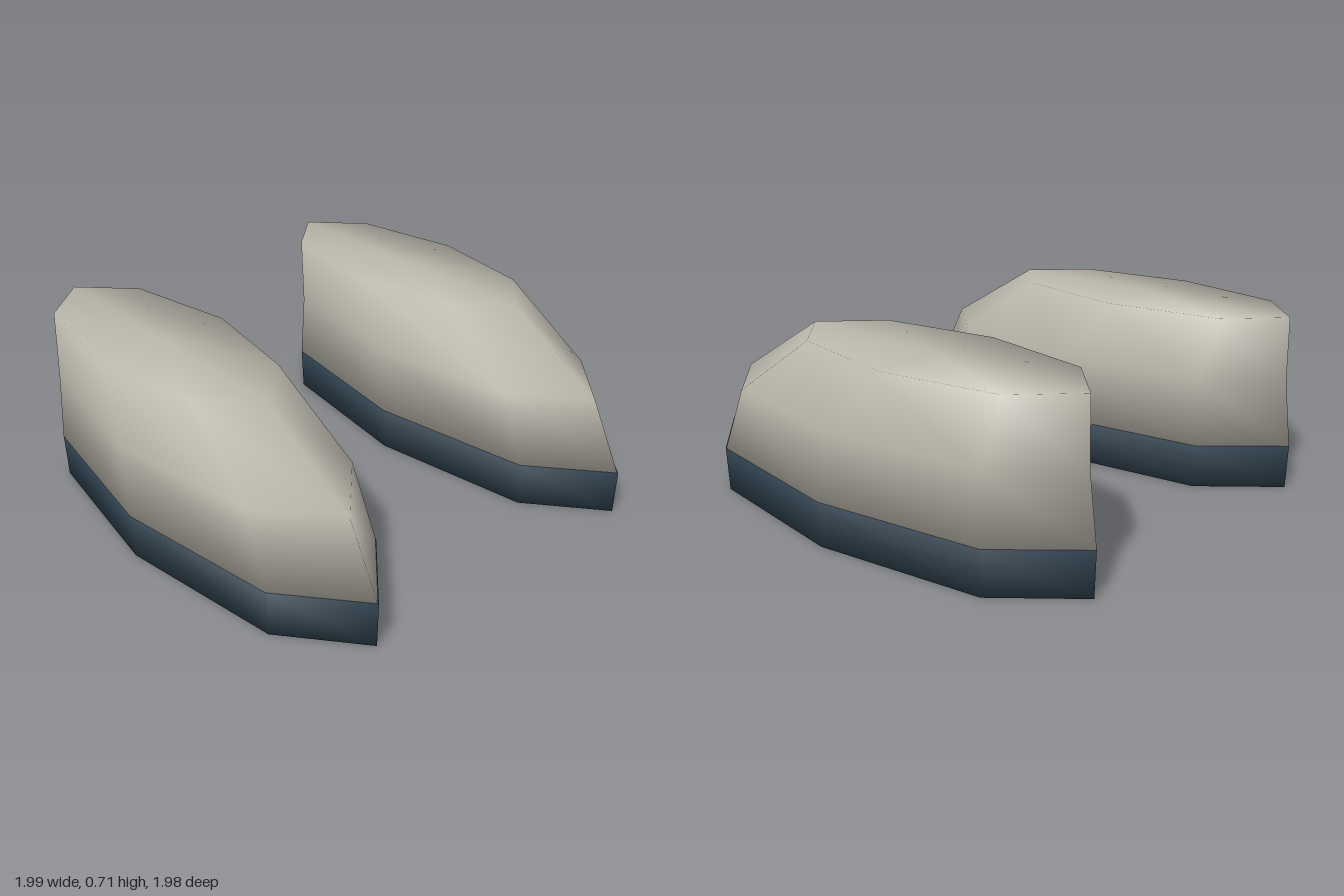
import * as THREE from 'three';

// Eight-sided pointed outline, unit half width and half length, from the toe counterclockwise
const OUTLINE = [[0, 1], [0.705, 0.707], [1, 0], [0.705, -0.707], [0, -1], [-0.705, -0.707], [-1, 0], [-0.705, 0.707]];

// Smooth closed loft; each ring is [y, half width, front z, back z]
function loft(rings) {
  const n = OUTLINE.length, pos = [], index = [];
  for (const [y, w, front, back] of rings) {
    const mid = (front + back) / 2, half = (front - back) / 2;
    for (const [x, z] of OUTLINE) pos.push(x * w, y, mid + z * half);
  }
  // Centre points of the bottom and top caps
  const top = (rings.length - 1) * n, bottomCentre = top + n, topCentre = bottomCentre + 1;
  for (const [y, , front, back] of [rings[0], rings[rings.length - 1]]) pos.push(0, y, (front + back) / 2);

  for (let i = 0; i < n; i++) {
    const j = (i + 1) % n;
    for (let r = 0; r < top; r += n) {
      const a = r + i, b = r + j;
      index.push(a, b, a + n, b, b + n, a + n);
    }
    index.push(bottomCentre, j, i, topCentre, top + i, top + j);
  }
  const geo = new THREE.BufferGeometry();
  geo.setAttribute('position', new THREE.Float32BufferAttribute(pos, 3));
  geo.setIndex(index);
  geo.computeVertexNormals();
  return geo;
}

export function createModel() {
  const model = new THREE.Group();
  model.name = 'shoePair';
  const upperMat = new THREE.MeshStandardMaterial({ color: 0xb9b6aa });
  upperMat.name = 'warm grey';
  const soleMat = new THREE.MeshStandardMaterial({ color: 0x2b3d4a });
  soleMat.name = 'dark slate blue';

  const parts = [
    ['sole', soleMat, loft([[0, 0.347, 0.985, -0.985], [0.18, 0.355, 0.99, -0.99]])],
    ['upper', upperMat, loft([[0.18, 0.355, 0.985, -0.99], [0.45, 0.34, 0.84, -0.955], [0.712, 0.287, 0.4, -0.95]])],
  ];

  for (const [side, x] of [['left', 0.642], ['right', -0.642]]) {
    const shoe = new THREE.Group();
    shoe.name = side + 'Shoe';
    shoe.position.x = x;
    for (const [name, mat, geo] of parts) {
      const mesh = new THREE.Mesh(geo, mat);
      mesh.name = name;
      shoe.add(mesh);
    }
    model.add(shoe);
  }
  return model;
}
